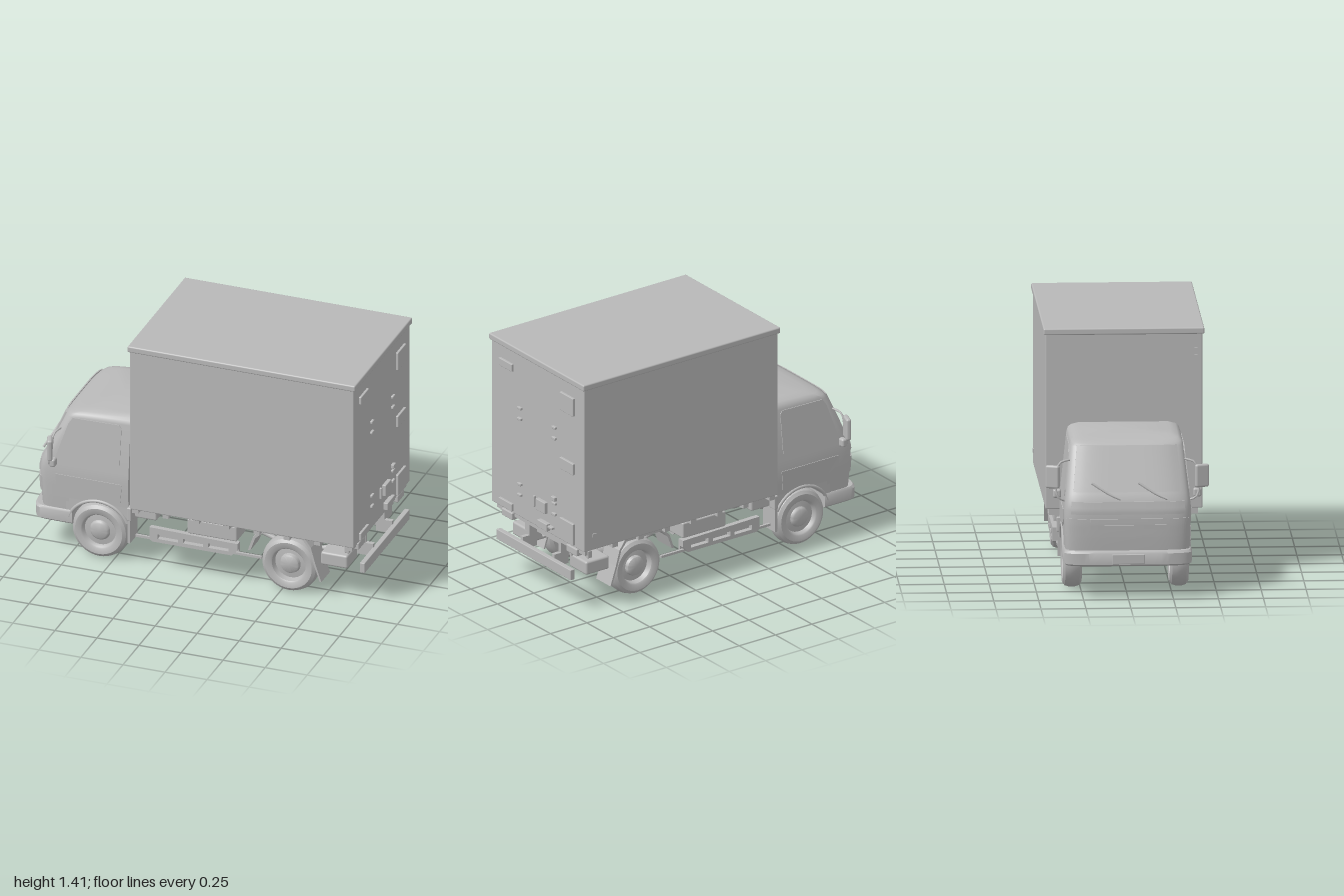
import * as THREE from 'three';
import { toCreasedNormals } from 'three/addons/utils/BufferGeometryUtils.js';
import { RoundedBoxGeometry } from 'three/addons/geometries/RoundedBoxGeometry.js';

const paint = new THREE.MeshStandardMaterial({ color: 0xb8b8b8 });
paint.name = 'plain grey';
const paintBoth = paint;
const V = (x, y, z) => new THREE.Vector3(x, y, z);

// front curve of a cab cross-section: s runs from -1 to 1 across the width
const frontX = (xf, s, depth = 0.11) => xf + depth * (1 - Math.pow(1 - Math.min(1, Math.abs(s)) ** 4.5, 1 / 4.5));

// cab cross-sections from sill to roof: [y, front x, half width]
const CAB = [[0.35, -0.958, 0.35], [0.42, -0.963, 0.352], [0.5, -0.965, 0.354], [0.555, -0.955, 0.348],
  [0.59, -0.937, 0.344], [0.85, -0.822, 0.316], [0.874, -0.805, 0.308], [0.888, -0.775, 0.29], [0.898, -0.72, 0.25]];

// front x and half width at any cab height
function cabAt(y) {
  let i = 0;
  while (i < CAB.length - 2 && y > CAB[i + 1][0]) i++;
  const [a, b] = [CAB[i], CAB[i + 1]], t = (y - a[0]) / (b[0] - a[0]);
  return [a[1] + (b[1] - a[1]) * t, a[2] + (b[2] - a[2]) * t];
}

export function createModel() {
  const truck = new THREE.Group();
  truck.name = 'boxTruck';

  const add = (name, geo) => {
    const m = new THREE.Mesh(geo, paint);
    m.name = name;
    truck.add(m);
    return m;
  };
  // box given by its limits
  const block = (name, x0, x1, y0, y1, z0, z1, r = 0) => {
    const [w, h, d] = [x1 - x0, y1 - y0, z1 - z0];
    const m = add(name, r ? new RoundedBoxGeometry(w, h, d, 2, r) : new THREE.BoxGeometry(w, h, d));
    m.position.set((x0 + x1) / 2, (y0 + y1) / 2, (z0 + z1) / 2);
    return m;
  };
  const pair = (name, x0, x1, y0, y1, z0, z1, r) => {
    block(name + 'Left', x0, x1, y0, y1, z0, z1, r);
    block(name + 'Right', x0, x1, y0, y1, -z1, -z0, r);
  };
  const rod = (name, pts, r) => add(name, new THREE.TubeGeometry(new THREE.CatmullRomCurve3(pts), 12, r, 8));
  const bar = (name, a, b, r) => {
    const m = add(name, new THREE.CylinderGeometry(r, r, a.distanceTo(b), 16));
    m.position.copy(a).lerp(b, 0.5);
    m.quaternion.setFromUnitVectors(V(0, 1, 0), b.clone().sub(a).normalize());
    return m;
  };

  // skin over D-shaped sections with a rounded front
  const loft = (name, levels, xb, crown = 0) => {
    const N = 28, pos = [], idx = [], n = N + 3;
    const put = (x, y, z) => pos.push(x, y - crown * Math.max(0, y - 0.8) * 10 * ((x + 0.41) / 0.4) ** 2, z);
    for (const [y, xf, hw] of levels) {
      for (let i = 0; i <= N; i++) {
        const a = (i / N - 0.5) * Math.PI;
        const s = Math.sign(a) * Math.abs(Math.sin(a)) ** (2 / 4.5);
        put(frontX(xf, s), y, hw * s);
      }
      put(xb, y, hw);
      put(xb, y, -hw);
    }
    levels.slice(1).forEach((_, j) => {
      for (let i = 0; i < n; i++) {
        const a = j * n + i, b = j * n + (i + 1) % n;
        idx.push(a, b, b + n, a, b + n, a + n);
      }
    });
    for (const top of [0, levels.length - 1]) {
      const [y, xf] = levels[top], c = pos.length / 3;
      put((xf + xb) / 2, y, 0);
      for (let i = 0; i < n; i++) {
        const a = top * n + i, b = top * n + (i + 1) % n;
        idx.push(c, ...(top ? [a, b] : [b, a]));
      }
    }
    const g = new THREE.BufferGeometry();
    g.setAttribute('position', new THREE.Float32BufferAttribute(pos, 3));
    g.setIndex(idx);
    return add(name, toCreasedNormals(g, 0.7));
  };

  // thin panel that follows the cab front, s0..s1 across and y0..y1 up
  const frontPanel = (name, y0, y1, s0, s1, lift) => {
    const g = new THREE.BoxGeometry(0.008, 1, 1, 1, 6, 20), p = g.attributes.position;
    for (let i = 0; i < p.count; i++) {
      const y = y0 + (y1 - y0) * (p.getY(i) + 0.5), s = s0 + (s1 - s0) * (p.getZ(i) + 0.5);
      const [xf, hw] = cabAt(y);
      p.setXYZ(i, frontX(xf, s) - lift + p.getX(i), y, s * hw);
    }
    add(name, toCreasedNormals(g, 0.6));
  };

  // cargo body
  block('cargoBox', -0.363, 0.968, 0.398, 1.39, -0.43, 0.443, 0.006);
  block('cargoRoof', -0.375, 0.98, 1.383, 1.42, -0.441, 0.454, 0.008);
  for (const y of [1.25, 1.29]) block('frontMarker', -0.372, -0.36, y - 0.017, y + 0.017, 0.4, 0.415);
  block('sideLatch', 0.885, 0.91, 0.475, 0.497, -0.436, -0.428);

  // rear face fittings: [z0, z1, y0, y1, thickness]
  const fittings = [[0.236, 0.36, 1.26, 1.305, 0.014], [-0.342, -0.215, 1.195, 1.305, 0.014],
    [-0.342, -0.215, 0.838, 0.907, 0.014], [-0.342, -0.215, 0.41, 0.54, 0.014], [0.236, 0.36, 0.41, 0.455, 0.014],
    [0.026, 0.04, 0.512, 0.58, 0.012], [-0.087, 0, 0.512, 0.58, 0.022], [-0.11, -0.02, 0.415, 0.46, 0.026],
    [-0.15, -0.11, 0.437, 0.452, 0.02], [-0.172, -0.137, 0.617, 0.642, 0.018]];
  for (const y of [1.062, 0.997, 0.6, 0.535])
    for (const z of [0.17, -0.155]) fittings.push([z - 0.017, z + 0.017, y - 0.008, y + 0.008, 0.014]);
  fittings.forEach(([z0, z1, y0, y1, t]) => block('rearFitting', 0.96, 0.968 + t, y0, y1, z0, z1, 0.004));

  // cab shell, nose and wheel arches
  loft('cabShell', CAB, -0.408, 0.03);
  loft('cabNose', [[0.22, -0.945, 0.343], [0.28, -0.952, 0.347], [0.351, -0.958, 0.35]], -0.76);
  loft('frontBumper', [[0.19, -0.975, 0.345], [0.2, -0.988, 0.356], [0.262, -0.99, 0.358], [0.275, -0.98, 0.35]], -0.74);
  block('numberPlate', -1, -0.985, 0.205, 0.26, -0.09, 0.09, 0.004);
  const arch = new THREE.Shape();
  arch.moveTo(-0.78, 0.22);
  arch.lineTo(-0.763, 0.22);
  arch.absarc(-0.585, 0.172, 0.184, 2.88, 0.45, true);
  arch.lineTo(-0.408, 0.252);
  arch.lineTo(-0.408, 0.37);
  arch.lineTo(-0.78, 0.37);
  const archGeo = new THREE.ExtrudeGeometry(arch, { depth: 0.698, bevelEnabled: false, curveSegments: 20 });
  add('frontWheelArches', toCreasedNormals(archGeo, 0.6)).position.z = -0.349;
  block('engineBay', -0.9, -0.42, 0.2, 0.36, -0.19, 0.19, 0.02);

  // cab front details
  frontPanel('windscreen', 0.6, 0.845, -0.88, 0.88, -0.002);
  frontPanel('frontPanel', 0.48, 0.55, -0.9, 0.9, 0.002);
  frontPanel('grilleUpper', 0.435, 0.455, -0.6, 0.6, 0.004);
  frontPanel('grilleLower', 0.395, 0.42, -0.6, 0.6, 0.004);
  frontPanel('headlightLeft', 0.365, 0.455, 0.66, 0.97, 0.003);
  frontPanel('headlightRight', 0.365, 0.455, -0.97, -0.66, 0.003);
  for (const z of [0.13, -0.13])
    rod('wiper', [V(-0.965, 0.565, z + 0.09), V(-0.952, 0.59, z + 0.03), V(-0.925, 0.65, z - 0.07)], 0.007);

  // raised side plates laid on the leaning cab side
  const sidePlate = (name, pts, side) => {
    const shape = new THREE.Shape(pts.map(([x, y]) => new THREE.Vector2(x, y)));
    const g = new THREE.ExtrudeGeometry(shape, { depth: 0.008, bevelEnabled: false }), p = g.attributes.position;
    for (let i = 0; i < p.count; i++) {
      const z = p.getZ(i) + cabAt(p.getY(i))[1] - 0.004;
      p.setZ(i, side > 0 ? z : -cabAt(p.getY(i))[1] - 0.004 + p.getZ(i));
    }
    g.computeVertexNormals();
    add(name, g);
  };

  // wheel turned around its axle, dish depth differs front to rear
  const wheel = (name, x, z, dish, hub) => {
    const prof = [[0, -0.03], [0.09, -0.03], [0.1, -0.048], [0.14, -0.053], [0.158, -0.04], [0.166, -0.015],
      [0.166, 0.015], [0.158, 0.04], [0.14, 0.053], [0.108, 0.05], [0.1, 0.044], [0.092, dish], [0.06, dish + 0.004],
      [0.054, hub - 0.006], [0.045, hub], [0, hub + 0.002]].map(([r, y]) => new THREE.Vector2(r, y));
    const m = add(name, toCreasedNormals(new THREE.LatheGeometry(prof, 40), 0.6));
    m.position.set(x, 0.171, z);
    m.rotation.x = Math.sign(z) * Math.PI / 2;
  };

  for (const s of [1, -1]) {
    const end = s > 0 ? 'Left' : 'Right';
    sidePlate('sideWindow' + end, [[-0.775, 0.8], [-0.75, 0.838], [-0.475, 0.842], [-0.46, 0.825], [-0.462, 0.59],
      [-0.56, 0.565], [-0.84, 0.565], [-0.84, 0.6]], s);
    sidePlate('doorPanel' + end, [[-0.76, 0.39], [-0.73, 0.372], [-0.455, 0.375], [-0.445, 0.49], [-0.84, 0.49],
      [-0.835, 0.43]], s);
    wheel('frontWheel' + end, -0.585, s * 0.297, 0.024, 0.046);
    wheel('rearWheel' + end, 0.545, s * 0.303, 0.012, 0.04);
    const lip = add('archLip' + end, new THREE.TorusGeometry(0.188, 0.01, 8, 24, 2.35));
    lip.position.set(-0.585, 0.172, s * 0.349);
    lip.rotation.z = 0.45;
    // mirrors and their arms
    const mirror = add('mirror' + end, new RoundedBoxGeometry(0.03, 0.13, 0.08, 3, 0.012));
    mirror.position.set(-0.85, 0.675, s * 0.415);
    mirror.rotation.y = s * 0.35;
    const small = add('lowerMirror' + end, new RoundedBoxGeometry(0.035, 0.05, 0.045, 3, 0.012));
    small.position.set(-0.84, 0.58, s * 0.39);
    rod('mirrorArm' + end, [V(-0.85, 0.54, s * 0.345), V(-0.865, 0.56, s * 0.385), V(-0.845, 0.66, s * 0.4),
      V(-0.84, 0.75, s * 0.375), V(-0.82, 0.765, s * 0.32)], 0.006);

    // rear fender: a bent strip with hanging mudflap
    const outer = [[0.315, 0.24], [0.345, 0.325], [0.395, 0.376], [0.65, 0.376], [0.69, 0.32], [0.715, 0.23], [0.752, 0.118]];
    const inner = [[0.742, 0.118], [0.703, 0.23], [0.678, 0.315], [0.64, 0.362], [0.403, 0.362], [0.358, 0.318], [0.33, 0.24]];
    const strip = new THREE.Shape([...outer, ...inner].map(([x, y]) => new THREE.Vector2(x, y)));
    add('rearFender' + end, new THREE.ExtrudeGeometry(strip, { depth: 0.135, bevelEnabled: false }))
      .position.z = s > 0 ? 0.247 : -0.382;

    // slotted side guard
    const guard = new THREE.Shape([[-0.27, 0.2], [-0.25, 0.188], [0.22, 0.188], [0.255, 0.225], [0.255, 0.265],
      [-0.27, 0.275]].map(([x, y]) => new THREE.Vector2(x, y)));
    for (const x of [-0.22, -0.07, 0.08])
      guard.holes.push(new THREE.Path([[x, 0.21], [x, 0.238], [x + 0.12, 0.238], [x + 0.12, 0.21]]
        .map(([u, v]) => new THREE.Vector2(u, v))));
    add('sideGuard' + end, new THREE.ExtrudeGeometry(guard, { depth: 0.03, bevelEnabled: false }))
      .position.z = s > 0 ? 0.355 : -0.385;
    bar('springRear' + end, V(0.3, 0.25, s * 0.155), V(0.54, 0.16, s * 0.155), 0.014);
    bar('springTail' + end, V(0.54, 0.16, s * 0.155), V(0.82, 0.26, s * 0.155), 0.014);
  }
  pair('guardBacking', -0.26, 0.25, 0.195, 0.26, 0.335, 0.35);
  pair('guardExtension', -0.36, 0.39, 0.188, 0.202, 0.35, 0.365);
  pair('underfloorBox', -0.05, 0.245, 0.27, 0.362, 0.23, 0.37, 0.008);
  pair('frontMudflap', -0.408, -0.392, 0.14, 0.35, 0.25, 0.365);
  pair('cabRearStep', -0.41, -0.385, 0.28, 0.36, 0.28, 0.37, 0.005);
  pair('sideBracket', -0.37, -0.24, 0.3, 0.38, 0.19, 0.35, 0.01);

  // chassis
  pair('frameRail', -0.75, 0.93, 0.28, 0.375, 0.135, 0.16);
  block('chassisPan', -0.42, 0.88, 0.3, 0.375, -0.135, 0.135);
  for (const x of [-0.34, -0.16, 0.02, 0.2, 0.38, 0.56, 0.74, 0.93])
    block('floorBeam', x - 0.018, x + 0.018, 0.365, 0.4, -0.41, 0.42);
  bar('driveShaft', V(-0.25, 0.27, 0), V(0.5, 0.185, 0), 0.022);
  block('gearbox', -0.44, -0.2, 0.2, 0.31, -0.08, 0.08, 0.03);
  bar('rearAxle', V(0.545, 0.15, -0.28), V(0.545, 0.15, 0.28), 0.022);
  bar('frontAxle', V(-0.585, 0.165, -0.28), V(-0.585, 0.165, 0.28), 0.022);
  const diff = add('differential', new THREE.SphereGeometry(0.09, 24, 16));
  diff.scale.set(0.9, 0.8, 1.05);
  diff.position.set(0.545, 0.182, 0);
  bar('exhaust', V(-0.1, 0.26, -0.2), V(0.2, 0.26, -0.2), 0.035);

  // tail end
  block('rearBumper', 0.97, 1, 0.206, 0.268, -0.345, 0.355, 0.004);
  pair('bumperArm', 0.88, 0.975, 0.215, 0.29, 0.135, 0.16);
  pair('rearStorage', 0.735, 0.895, 0.21, 0.29, 0.19, 0.35, 0.012);
  pair('storageHanger', 0.74, 0.9, 0.285, 0.37, 0.2, 0.22);
  pair('rearLamp', 0.9, 0.965, 0.345, 0.388, 0.255, 0.355, 0.006);
  pair('sideLamp', 0.9, 0.93, 0.345, 0.39, 0.385, 0.415, 0.005);

  return truck;
}
